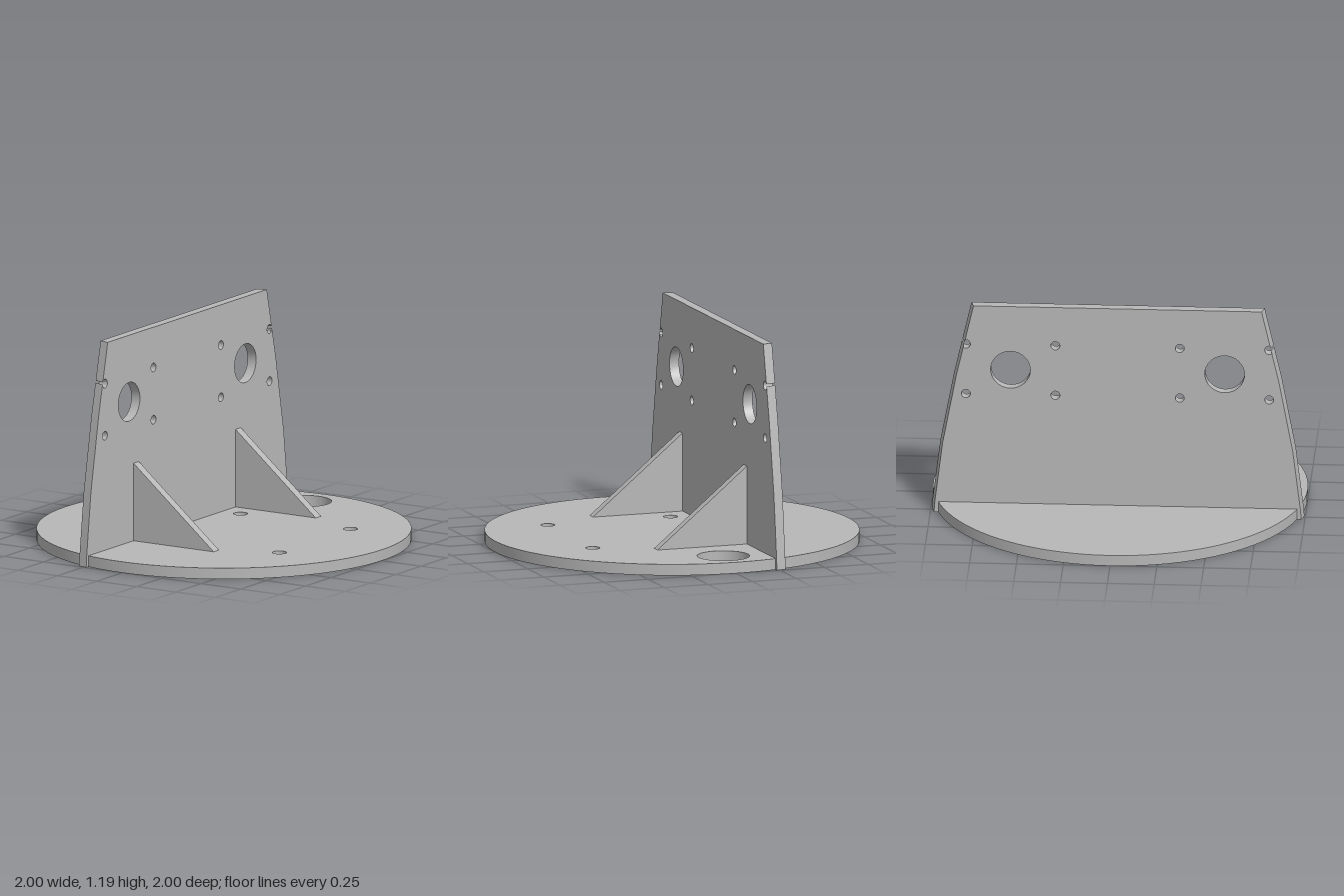
import * as THREE from 'three';
import { toCreasedNormals } from 'three/addons/utils/BufferGeometryUtils.js';

const CREASE = 0.3;
const BASE_TOP = 0.06;
const BACK_X = -0.287, FRONT_X = -0.233;
const TAPER = 0.014; // the wall's ends lean inwards towards its back face
const EDGE = [[0.995, 0], [0.99, 0.06], [0.949, 0.395], [0.874, 0.795], [0.783, 1.19]];

function addHole(shape, x, y, r) {
  const hole = new THREE.Path();
  hole.absarc(x, y, r, 0, Math.PI * 2, true);
  shape.holes.push(hole);
}

function extrude(shape, depth, curveSegments = 16) {
  return new THREE.ExtrudeGeometry(shape, { depth, bevelEnabled: false, curveSegments });
}

// Half width of the wall at height y
function edgeAt(y) {
  let i = 0;
  while (i < EDGE.length - 2 && y > EDGE[i + 1][1]) i++;
  const [[z0, y0], [z1, y1]] = [EDGE[i], EDGE[i + 1]];
  return z0 + (z1 - z0) * (y - y0) / (y1 - y0);
}

// Round base with one cable hole and four bolt holes
function baseGeometry() {
  const disc = new THREE.Shape();
  disc.absarc(0, 0, 1, 0, Math.PI * 2, false);
  addHole(disc, 0, 0.8, 0.14);
  for (const x of [-0.12, 0.577]) {
    for (const y of [-0.35, 0.35]) addHole(disc, x, y, 0.038);
  }
  const geo = extrude(disc, BASE_TOP, 48);
  geo.rotateX(-Math.PI / 2);
  return toCreasedNormals(geo, CREASE);
}

// Upright wall; the upper outer screw holes break through its edges
function wallGeometry() {
  const half = EDGE.slice(0, 4).map(([z, y]) => new THREE.Vector2(z, y));
  const steps = 32;
  for (let i = 0; i <= steps; i++) {
    const a = THREE.MathUtils.degToRad(-1 - 332 * i / steps);
    half.push(new THREE.Vector2(0.81 + 0.024 * Math.cos(a), 0.97 + 0.024 * Math.sin(a)));
  }
  half.push(new THREE.Vector2(...EDGE[4]));
  const mirrored = half.map((p) => new THREE.Vector2(-p.x, p.y)).reverse();
  const shape = new THREE.Shape([...half, ...mirrored]);

  for (const side of [-1, 1]) {
    addHole(shape, side * 0.572, 0.827, 0.106);
    addHole(shape, side * 0.332, 0.97, 0.024);
    addHole(shape, side * 0.332, 0.685, 0.024);
    addHole(shape, side * 0.81, 0.685, 0.024);
  }
  const depth = FRONT_X - BACK_X;
  const geo = extrude(shape, depth);

  // Trim both ends to the slanted edge
  const pos = geo.attributes.position;
  for (let i = 0; i < pos.count; i++) {
    const limit = edgeAt(pos.getY(i)) - TAPER * (1 - pos.getZ(i) / depth);
    pos.setX(i, THREE.MathUtils.clamp(pos.getX(i), -limit, limit));
  }
  geo.rotateY(Math.PI / 2);
  geo.translate(BACK_X, 0, 0);
  return toCreasedNormals(geo, CREASE);
}

// Triangular brace between wall and base
function gussetGeometry() {
  const shape = new THREE.Shape([
    new THREE.Vector2(FRONT_X, BASE_TOP),
    new THREE.Vector2(0.275, BASE_TOP),
    new THREE.Vector2(FRONT_X, 0.483),
  ]);
  const geo = extrude(shape, 0.052);
  geo.translate(0, 0, -0.026);
  return geo;
}

export function createModel() {
  const group = new THREE.Group();
  group.name = 'mountingBracket';
  const grey = new THREE.MeshStandardMaterial({ color: 0xb8b8b8 });
  grey.name = 'grey';

  const add = (name, geometry, z = 0) => {
    const mesh = new THREE.Mesh(geometry, grey);
    mesh.name = name;
    mesh.position.z = z;
    group.add(mesh);
  };

  add('base', baseGeometry());
  add('wall', wallGeometry());
  const gusset = gussetGeometry();
  add('frontGusset', gusset, 0.502);
  add('rearGusset', gusset, -0.502);
  return group;
}
